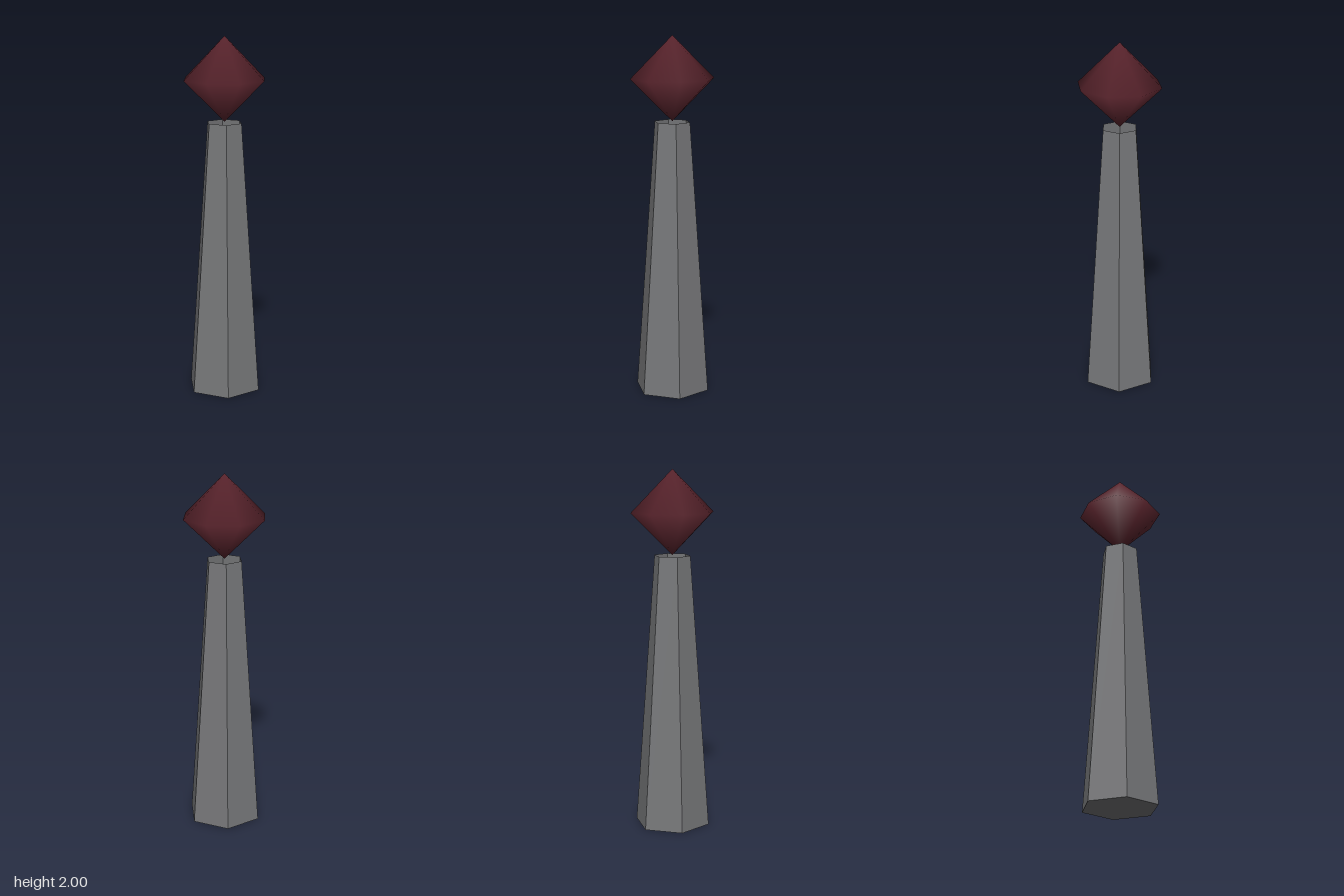
import * as THREE from 'three';

export function createModel() {
  const model = new THREE.Group();
  const stone = new THREE.MeshStandardMaterial({ color: 0x77787a, flatShading: true, side: THREE.DoubleSide });
  const red = new THREE.MeshStandardMaterial({ color: 0x5c252e });
  const add = (name, geometry, material, y) => {
    const mesh = new THREE.Mesh(geometry, material);
    mesh.name = name;
    mesh.position.y = y;
    model.add(mesh);
  };

  // Tapered hexagonal pillar, corners on the x axis, hollow with an open top
  const height = 1.53, baseRadius = 0.213, topRadius = 0.102;
  add('pillar', new THREE.CylinderGeometry(topRadius, baseRadius, height, 6, 1, true, Math.PI / 2), stone, height / 2);

  // Hexagonal floor closing the underside
  add('pillarBase', new THREE.CircleGeometry(baseRadius, 6).rotateX(Math.PI / 2), stone, 0);

  // Smooth-shaded eight-sided crystal balanced on its point above the pillar
  const crystalRadius = 0.234;
  add('crystal', new THREE.SphereGeometry(crystalRadius, 8, 2), red, 2 - crystalRadius);

  return model;
}
